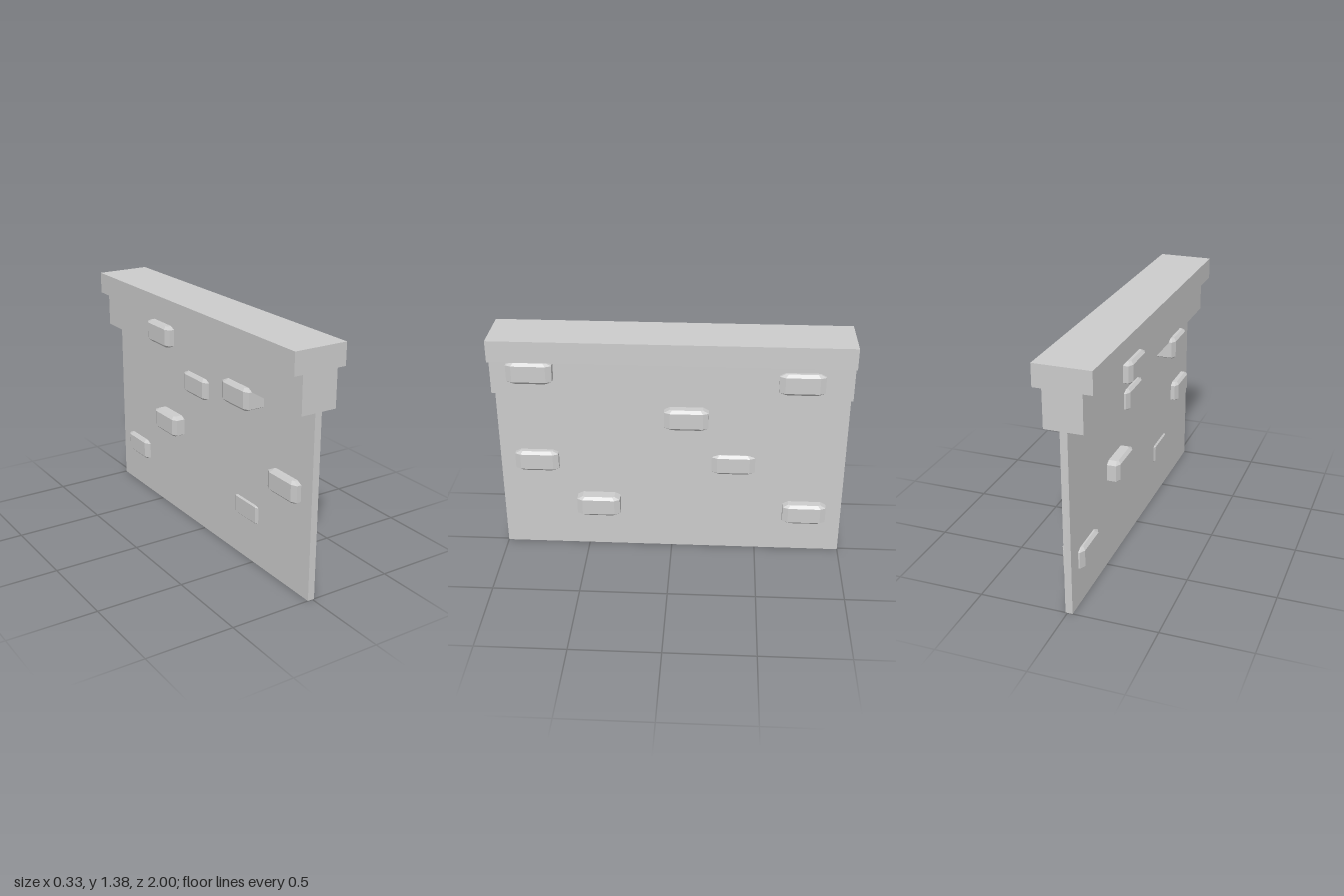
import * as THREE from 'three';

const material = new THREE.MeshStandardMaterial({ color: 0xcccccc, flatShading: true });

// Box given by its x and y limits, running the full length of the wall
function course(name, x0, x1, y0, y1) {
  const mesh = new THREE.Mesh(new THREE.BoxGeometry(x1 - x0, y1 - y0, 2), material);
  mesh.position.set((x0 + x1) / 2, (y0 + y1) / 2, 0);
  mesh.name = name;
  return mesh;
}

// Brick with every edge cut: an octagon raised with a one-step bevel, stretched along z
function brickGeometry(size, cut) {
  const h = size / 2, k = h - cut;
  const outline = new THREE.Shape(
    [[h, -k], [h, k], [k, h], [-k, h], [-h, k], [-h, -k], [-k, -h], [k, -h]]
      .map(([x, y]) => new THREE.Vector2(x, y)));
  const geometry = new THREE.ExtrudeGeometry(outline, {
    depth: size - 2 * cut, bevelEnabled: true, bevelSegments: 1,
    bevelThickness: cut, bevelSize: cut, bevelOffset: -cut,
  });
  geometry.center();
  geometry.rotateX(-Math.PI / 2);
  geometry.scale(1, 1, 2);
  return geometry;
}

export function createModel() {
  const group = new THREE.Group();
  group.name = 'brickWall';

  // Thin wall panel, the wider ledge above it and the cap on top
  group.add(course('wallPanel', -0.029, 0.011, 0, 1.045));
  group.add(course('ledge', -0.113, 0.098, 1.045, 1.256));
  group.add(course('cap', -0.165, 0.149, 1.256, 1.38));

  // Loose bricks standing out of the faces: centre x, y, z
  const geometry = brickGeometry(0.126, 0.016);
  const bricks = [
    [0.098, 1.192, 0.774],
    [0.069, 1.146, -0.718],
    [0.007, 0.878, -0.084],
    [-0.008, 0.581, 0.784],
    [-0.034, 0.573, -0.358],
    [0.025, 0.3, 0.43],
    [0.008, 0.271, -0.781],
    [-0.095, 1.146, -0.326],
    [-0.084, 0.999, 0.457],
  ];
  bricks.forEach((p, i) => {
    const brick = new THREE.Mesh(geometry, material);
    brick.position.set(...p);
    brick.name = `brick${i + 1}`;
    group.add(brick);
  });
  return group;
}
